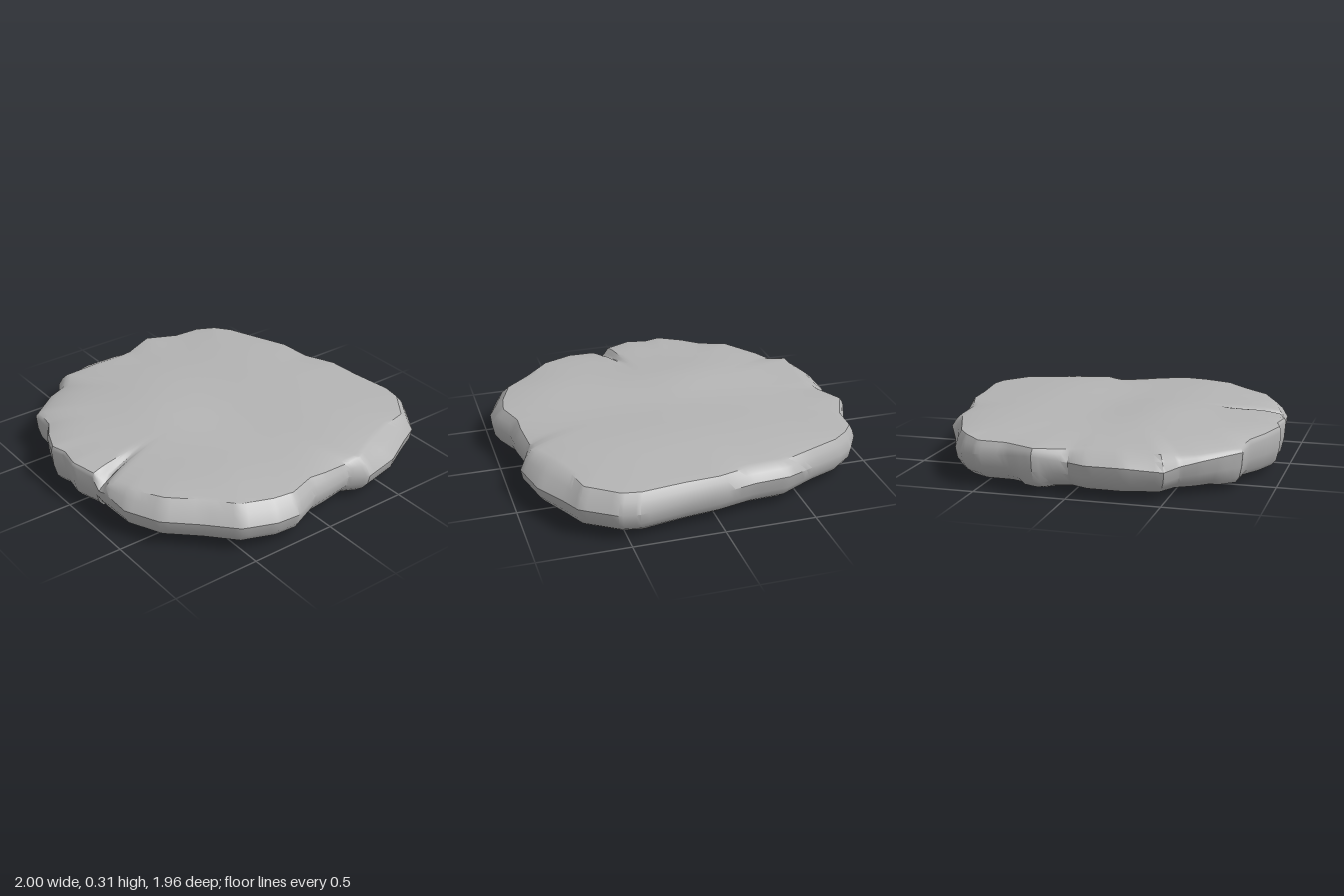
import * as THREE from 'three';
import { toCreasedNormals } from 'three/addons/utils/BufferGeometryUtils.js';

// Slab outline seen from above: x, z
const OUTLINE = [
  [1.0, 0.22], [0.99, 0.35], [0.92, 0.53], [0.77, 0.67], [0.62, 0.83], [0.43, 0.92], [0.26, 0.93],
  [0.2, 0.93], [0.14, 0.93], [0.0, 0.97], [-0.12, 0.95], [-0.21, 0.975], [-0.35, 0.92], [-0.46, 0.855],
  [-0.62, 0.84], [-0.78, 0.66], [-0.84, 0.56], [-0.94, 0.5], [-0.99, 0.3], [-0.99, 0.1], [-0.95, 0.0],
  [-1.0, -0.18], [-0.93, -0.36], [-0.92, -0.52], [-0.86, -0.62], [-0.77, -0.69], [-0.6, -0.76],
  [-0.4, -0.865], [-0.2, -0.88], [0.0, -0.925], [0.2, -0.945], [0.45, -0.98], [0.56, -0.96],
  [0.74, -0.84], [0.8, -0.72], [0.89, -0.55], [0.94, -0.33], [0.89, -0.22], [0.92, -0.05], [0.93, 0.05],
];
// Rim at each outline point: shoulder height, shoulder inset, height of the widest line
const RIM = [
  [0.28, 0.07, 0.18], [0.28, 0.08, 0.18], [0.28, 0.08, 0.18], [0.28, 0.08, 0.18], [0.28, 0.08, 0.18], [0.27, 0.07, 0.18], [0.25, 0.03, 0.2],
  [0.21, 0.05, 0.18], [0.26, 0.01, 0.23], [0.27, 0.01, 0.25], [0.27, 0.01, 0.25], [0.27, 0.01, 0.24], [0.26, 0.01, 0.23], [0.25, 0.01, 0.22],
  [0.24, 0.02, 0.22], [0.23, 0.03, 0.2], [0.23, 0.04, 0.18], [0.25, 0.06, 0.17], [0.26, 0.11, 0.19], [0.26, 0.11, 0.19], [0.25, 0.04, 0.19],
  [0.26, 0.02, 0.22], [0.26, 0.03, 0.2], [0.26, 0.03, 0.19], [0.27, 0.04, 0.18], [0.27, 0.04, 0.18], [0.27, 0.04, 0.18],
  [0.27, 0.06, 0.2], [0.27, 0.06, 0.2], [0.28, 0.04, 0.2], [0.28, 0.05, 0.19], [0.28, 0.06, 0.18], [0.28, 0.06, 0.18],
  [0.28, 0.07, 0.18], [0.28, 0.1, 0.18], [0.28, 0.12, 0.17], [0.27, 0.07, 0.17], [0.25, 0.03, 0.18], [0.27, 0.04, 0.19], [0.28, 0.05, 0.19],
];
const SUBDIV = 5;
const lerp = THREE.MathUtils.lerp;
const bump = (x, z, cx, cz, rx, rz) => Math.exp(-(((x - cx) / rx) ** 2) - ((z - cz) / rz) ** 2);

// Gently rolling top face, with a narrow crack at the front
function topHeight(x, z) {
  const crack = Math.max(0, 1 - Math.abs(x - 0.1 - (z - 0.55) * 0.22) / 0.035) * THREE.MathUtils.smoothstep(z, 0.55, 0.9);
  return 0.29 + 0.028 * bump(x, z, -0.15, 0.3, 0.4, 0.25) + 0.018 * bump(x, z, 0.2, -0.4, 0.7, 0.3)
    + 0.015 * bump(x, z, 0.6, 0.4, 0.3, 0.3) - 0.02 * bump(x, z, -0.85, 0, 0.3, 0.7) - 0.05 * crack;
}

// Underside: two shallow lobes parted by a crease running left to right
function bottomHeight(x, z) {
  const d = z - (0.05 - 0.17 * x);
  const groove = d > 0 ? Math.exp(-d / 0.2) : Math.exp(d / 0.06);
  return 0.018 + 0.012 * x + 0.028 * groove - 0.008 * bump(x, z, -0.4, 0.4, 0.4, 0.3);
}

// Outline and rim, resampled between the given points
function rimColumns() {
  const columns = [];
  OUTLINE.forEach((p, i) => {
    const n = (i + 1) % OUTLINE.length;
    for (let k = 0; k < SUBDIV; k++) {
      const t = k / SUBDIV;
      const mix = (a, b) => a.map((v, c) => lerp(v, b[c], t));
      const [x, z] = mix(p, OUTLINE[n]);
      const [y, inset, wide] = mix(RIM[i], RIM[n]);
      columns.push({ x, z, y, inset, wide, r: Math.hypot(x, z) });
    }
  });
  return columns;
}

// One column of points from the top centre, over the rim, to the bottom centre
function section(c) {
  const at = (inset, y, t = 1) => {
    const s = t * (1 - inset / c.r);
    return [c.x * s, y, c.z * s];
  };
  const points = [];
  const steps = [0, 0.15, 0.3, 0.42, 0.54, 0.64, 0.72, 0.79, 0.85, 0.9, 0.94, 0.97, 1];
  for (const t of steps) {
    const p = at(c.inset, 0, t);
    p[1] = lerp(topHeight(p[0], p[2]), c.y, t ** 8);
    points.push(p);
  }
  const undercut = c.wide > 0.21 ? 0.05 : 0.08;
  points.push(at(c.inset * 0.45, lerp(c.y, c.wide, 0.4)), at(0, c.wide));
  points.push(at(undercut * 0.15, lerp(c.wide, 0.06, 0.5)), at(undercut * 0.5, 0.08), at(undercut, 0.05));
  for (const t of [0.96, 0.9, 0.82, 0.74, 0.66, 0.58, 0.5, 0.4, 0.3, 0.2, 0.1, 0]) {
    const p = at(undercut, 0, t);
    p[1] = lerp(bottomHeight(p[0], p[2]), 0.05, t ** 8);
    points.push(p);
  }
  return points;
}

function slabGeometry() {
  const sections = rimColumns().map(section);
  const rings = sections[0].length;
  const index = [];
  sections.forEach((_, j) => {
    const n = (j + 1) % sections.length;
    for (let i = 0; i < rings - 1; i++) {
      const a = j * rings + i, b = n * rings + i;
      if (i > 0) index.push(a, b, a + 1);
      if (i < rings - 2) index.push(b, b + 1, a + 1);
    }
  });
  const geometry = new THREE.BufferGeometry();
  geometry.setAttribute('position', new THREE.Float32BufferAttribute(sections.flat(2), 3));
  geometry.setIndex(index);
  geometry.computeBoundingBox();
  geometry.translate(0, -geometry.boundingBox.min.y, 0);
  return toCreasedNormals(geometry, 0.6);
}

export function createModel() {
  const group = new THREE.Group();
  group.name = 'stoneSlab';
  const stone = new THREE.MeshStandardMaterial({ color: 0xb4b4b4 });
  stone.name = 'grey stone';
  const slab = new THREE.Mesh(slabGeometry(), stone);
  slab.name = 'slab';
  group.add(slab);
  return group;
}
